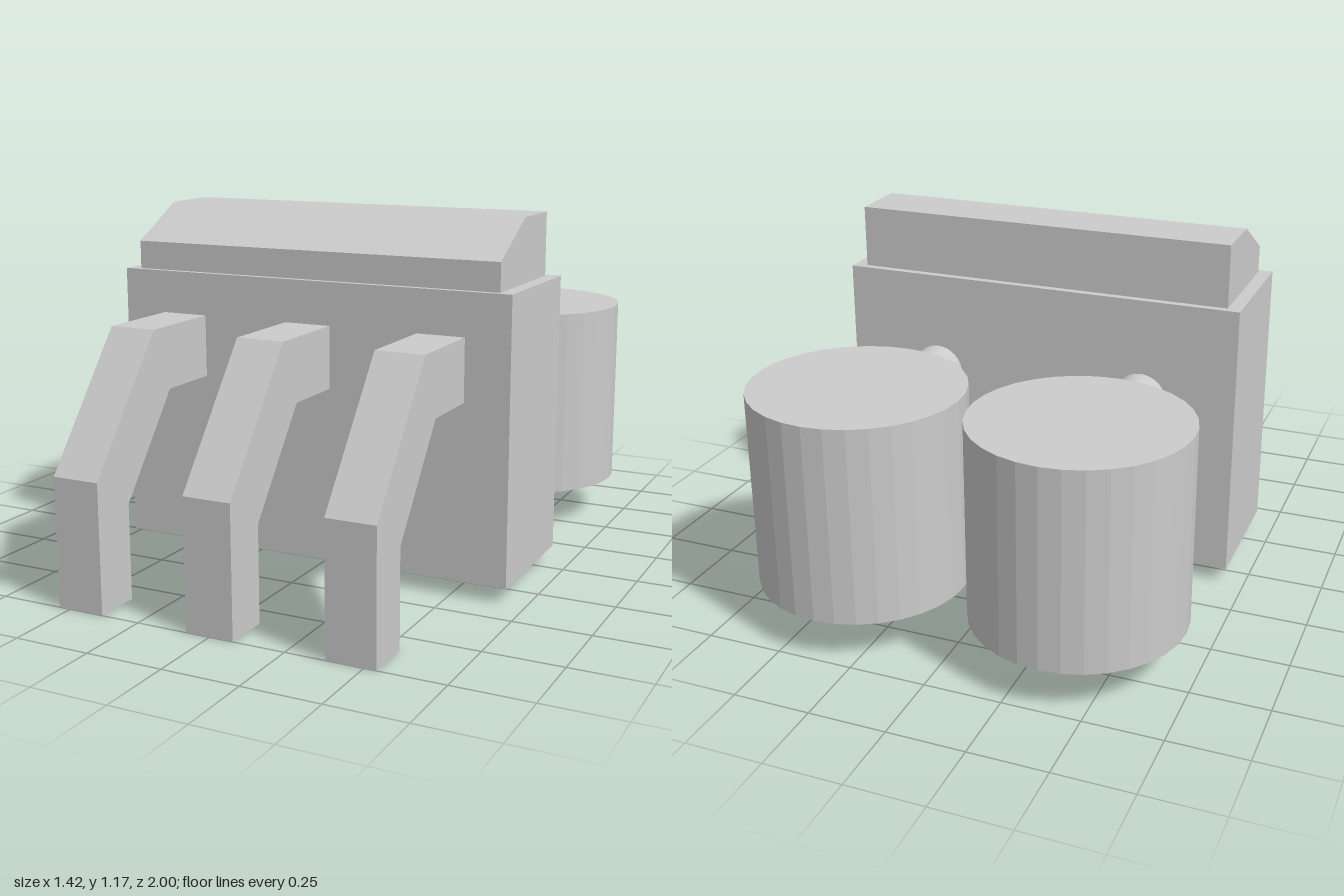
import * as THREE from 'three';

export function createModel() {
  const model = new THREE.Group();
  const material = new THREE.MeshStandardMaterial({ color: 0xcccccc, flatShading: true });

  function add(name, geometry, x = 0, y = 0, z = 0) {
    const mesh = new THREE.Mesh(geometry, material);
    mesh.name = name;
    mesh.position.set(x, y, z);
    model.add(mesh);
  }

  // Side profile given as [z, y] points, extruded across x and centred on it
  function sideProfile(points, width) {
    const shape = new THREE.Shape(points.map(([z, y]) => new THREE.Vector2(z, y)));
    return new THREE.ExtrudeGeometry(shape, { depth: width, bevelEnabled: false })
      .translate(0, 0, -width / 2)
      .rotateY(-Math.PI / 2);
  }

  // Main block
  add('body', new THREE.BoxGeometry(1.374, 0.918, 0.46), 0, 0.509, 0.15);

  // Cap with a sloped front edge
  add('topCap', sideProfile(
    [[-0.055, 0.968], [0.36, 0.968], [0.36, 1.06], [0.15, 1.175], [-0.055, 1.175]], 1.284));

  // Three bent prongs at the front
  const prong = sideProfile([
    [0.38, 0.625], [0.6, 0.625], [0.845, 0.31], [0.845, 0],
    [1, 0], [1, 0.417], [0.68, 0.828], [0.38, 0.828],
  ], 0.159);
  ['rightProng', 'middleProng', 'leftProng'].forEach((name, i) => add(name, prong, (i - 1) * 0.459));

  // Two upright drums behind, each joined to the block by a round pipe
  const drum = new THREE.CylinderGeometry(0.344, 0.344, 0.645, 32);
  const pipe = new THREE.CylinderGeometry(0.09, 0.09, 0.26, 32).rotateX(Math.PI / 2);
  for (const [side, s] of [['left', 1], ['right', -1]]) {
    add(side + 'Drum', drum, s * 0.367, 0.4625, -0.656);
    add(side + 'Pipe', pipe, s * 0.367, 0.625, -0.21);
  }

  return model;
}
